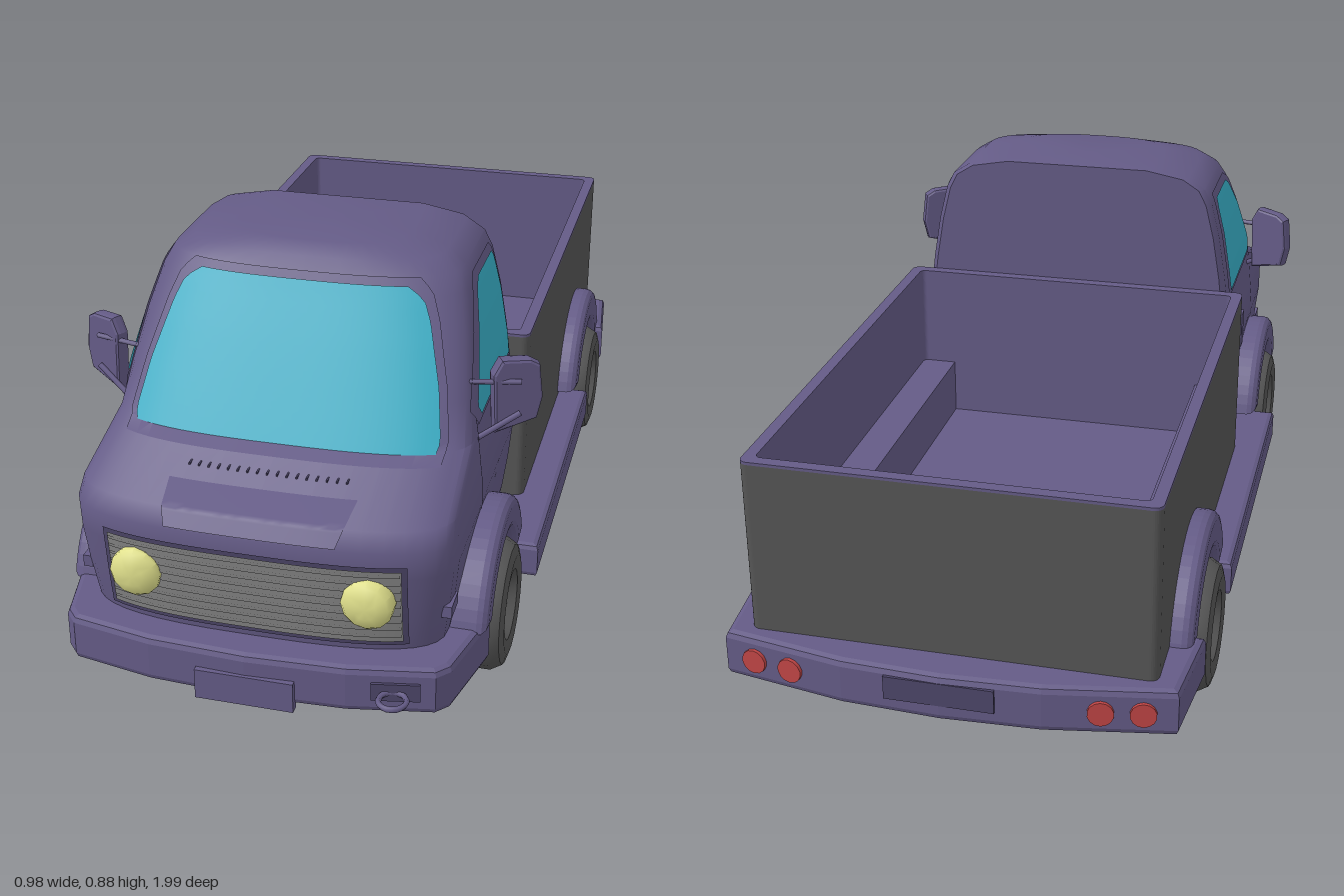
import * as THREE from 'three';
import { toCreasedNormals } from 'three/addons/utils/BufferGeometryUtils.js';

const mat = color => new THREE.MeshStandardMaterial({ color, side: THREE.DoubleSide });
const paint = mat(0x645b86), trim = mat(0x4d4669), dark = mat(0x555555), grey = mat(0x868686);
const glass = mat(0x38aec6), lamp = mat(0xe0e08c), red = mat(0xc04545), hubMat = mat(0xcccccc);

// cab outline by height: [y, half width, front z]
const CAB = [[0.12, 0.345, 0.875], [0.22, 0.365, 0.89], [0.3, 0.376, 0.9], [0.38, 0.384, 0.908], [0.44, 0.383, 0.915],
  [0.475, 0.379, 0.89], [0.54, 0.372, 0.7], [0.62, 0.362, 0.65], [0.72, 0.345, 0.588], [0.8, 0.325, 0.538],
  [0.835, 0.307, 0.517], [0.86, 0.268, 0.5], [0.876, 0.18, 0.455]];
const N = 2.8, DEPTH = 0.12, BACK = 0.182;

function lookup(table, y) {
  let i = 0;
  while (i < table.length - 2 && y > table[i + 1][0]) i++;
  const a = table[i], b = table[i + 1];
  const t = THREE.MathUtils.clamp((y - a[0]) / (b[0] - a[0]), 0, 1);
  return a.slice(1).map((v, k) => v + (b[k + 1] - v) * t);
}
function frontZ(x, y) {
  const [w, zf] = lookup(CAB, y), s = Math.min(1, Math.abs(x) / w);
  return zf - DEPTH + DEPTH * Math.pow(1 - Math.pow(s, N), 1 / N);
}
function sideX(z, y) {
  const [w, zf] = lookup(CAB, y), s = THREE.MathUtils.clamp((z - zf + DEPTH) / DEPTH, 0, 1);
  return w * Math.pow(1 - Math.pow(s, N), 1 / N);
}

function add(parent, name, geo, material, x = 0, y = 0, z = 0) {
  const m = new THREE.Mesh(geo, material);
  m.name = name;
  m.position.set(x, y, z);
  parent.add(m);
  return m;
}
const box = (g, name, m, sx, sy, sz, x, y, z) => add(g, name, new THREE.BoxGeometry(sx, sy, sz), m, x, y, z);

function fromTriangles(pos, crease) {
  const g = new THREE.BufferGeometry();
  g.setAttribute('position', new THREE.Float32BufferAttribute(pos.flat(), 3));
  return toCreasedNormals(g, crease);
}
// grid surface from point(u, v)
function patch(point, cols, rows) {
  const pos = [];
  for (let j = 0; j < rows; j++) for (let i = 0; i < cols; i++) {
    const p = (a, b) => point((i + a) / cols, (j + b) / rows);
    pos.push(p(0, 0), p(1, 0), p(1, 1), p(0, 0), p(1, 1), p(0, 1));
  }
  return fromTriangles(pos, 0.6);
}
// panel on the cab's front; table is [y, half width]
const frontPatch = (table, off) => patch((u, v) => {
  const y = THREE.MathUtils.lerp(table[0][0], table.at(-1)[0], v), x = (u * 2 - 1) * lookup(table, y)[0];
  return [x, y, frontZ(x, y) + off];
}, 24, 20);
// panel on the cab's side; table is [y, rear z, front z]
const sidePatch = (table, off) => patch((u, v) => {
  const y = THREE.MathUtils.lerp(table[0][0], table.at(-1)[0], v), [z0, z1] = lookup(table, y);
  const z = z1 + (z0 - z1) * u;
  return [sideX(z, y) + off, y, z];
}, 12, 20);

function cabGeometry() {
  const rows = CAB.map(([y, w, zf]) => {
    const half = [];
    for (let j = 0; j <= 10; j++) {
      const a = j / 10 * Math.PI / 2;
      half.push([w * Math.pow(Math.sin(a), 2 / N), y, zf - DEPTH + DEPTH * Math.pow(Math.max(0, Math.cos(a)), 2 / N)]);
    }
    half.push([w, y, BACK + 0.015], [w - 0.012, y, BACK]);
    return [...half, ...half.slice(1).reverse().map(([x, yy, z]) => [-x, yy, z])];
  });
  const pos = [], n = rows[0].length, top = rows.at(-1), bottom = rows[0];
  for (let j = 0; j < n; j++) {
    const k = (j + 1) % n;
    for (let i = 0; i < rows.length - 1; i++) {
      const a = rows[i], b = rows[i + 1];
      pos.push(a[j], a[k], b[k], a[j], b[k], b[j]);
    }
    pos.push([0, top[0][1], 0.3], top[j], top[k], [0, 0.12, 0.5], bottom[k], bottom[j]);
  }
  return fromTriangles(pos, 0.75);
}

// horizontal plate from half an outline of [x, z] points, mirrored
function plan(half, y0, y1, bevel) {
  const pts = [...half, ...half.filter(p => p[0] > 0).reverse().map(([x, z]) => [-x, z])];
  const g = new THREE.ExtrudeGeometry(new THREE.Shape(pts.map(([x, z]) => new THREE.Vector2(x, -z))), {
    depth: y1 - y0 - 2 * bevel, bevelThickness: bevel, bevelSize: bevel, bevelOffset: -bevel, bevelSegments: 2 });
  return g.rotateX(-Math.PI / 2).translate(0, y0 + bevel, 0);
}
function roundRect(hw, hl, r, P = THREE.Shape) {
  const s = new P();
  s.absarc(hw - r, hl - r, r, 0, Math.PI / 2);
  s.absarc(r - hw, hl - r, r, Math.PI / 2, Math.PI);
  s.absarc(r - hw, r - hl, r, Math.PI, Math.PI * 1.5);
  s.absarc(hw - r, r - hl, r, Math.PI * 1.5, Math.PI * 2);
  s.closePath();
  return s;
}
// bed wall ring between two insets from the outer faces
function wall(inset0, inset1, y0, y1) {
  const s = roundRect(0.41 - inset0, 0.55 - inset0, 0.018);
  s.holes.push(roundRect(0.41 - inset1, 0.55 - inset1, 0.012, THREE.Path));
  return new THREE.ExtrudeGeometry(s, { depth: y1 - y0, bevelEnabled: false, curveSegments: 4 })
    .rotateX(-Math.PI / 2).translate(0, y0, -0.37);
}
// half ring with a softly rounded outer lip, from x = 0 outwards
function archGeometry(inner, outer, depth) {
  const s = new THREE.Shape();
  s.absarc(0, 0, outer, 0.25, Math.PI - 0.25, false);
  s.absarc(0, 0, inner, Math.PI - 0.25, 0.25, true);
  return new THREE.ExtrudeGeometry(s, { depth: depth - 0.022, bevelThickness: 0.022, bevelSize: 0.02, bevelOffset: -0.02,
    bevelSegments: 3, curveSegments: 12 }).rotateY(Math.PI / 2);
}
const lathe = (points, segments) => toCreasedNormals(
  new THREE.LatheGeometry(points.map(p => new THREE.Vector2(...p)), segments).toNonIndexed(), 0.7);

function wheel(parent, name, x, z) {
  const g = new THREE.Group();
  g.name = name;
  const profile = [[0, -0.06], [0.1, -0.062], [0.127, -0.055], [0.14, -0.032], [0.14, 0.032], [0.127, 0.055],
    [0.105, 0.062], [0.075, 0.058], [0.062, 0.034], [0, 0.034]];
  add(g, 'tire', lathe(profile, 20).rotateZ(-Math.PI / 2), dark);
  add(g, 'hub', new THREE.CylinderGeometry(0.06, 0.06, 0.01, 20).rotateZ(Math.PI / 2), hubMat, 0.036);
  g.position.set(x, 0.14, z);
  parent.add(g);
}
function rod(parent, name, a, b, r) {
  const path = new THREE.LineCurve3(new THREE.Vector3(...a), new THREE.Vector3(...b));
  add(parent, name, new THREE.TubeGeometry(path, 1, r, 6), paint);
}

// everything that exists on both sides, built for +x
function buildSide(name) {
  const g = new THREE.Group();
  g.name = name;
  wheel(g, 'frontWheel', 0.393, 0.55);
  wheel(g, 'rearWheel', 0.415, -0.575);
  add(g, 'frontFender', archGeometry(0.15, 0.225, 0.07), paint, 0.368, 0.145, 0.55);
  add(g, 'rearFender', archGeometry(0.15, 0.235, 0.055), paint, 0.4, 0.145, -0.575);
  add(g, 'sill', plan([[0.05, 0.39], [0.05, -0.405]], 0.11, 0.19, 0.012), paint, 0.43);
  add(g, 'sideWindowFrame', sidePatch([[0.56, 0.22, 0.565], [0.6, 0.217, 0.59], [0.72, 0.217, 0.5], [0.8, 0.217, 0.435],
    [0.818, 0.225, 0.4]], 0.004), paint);
  add(g, 'sideWindow', sidePatch([[0.573, 0.235, 0.54], [0.6, 0.23, 0.565], [0.72, 0.23, 0.475], [0.79, 0.23, 0.415],
    [0.805, 0.24, 0.385]], 0.007), glass);
  add(g, 'doorSeam', sidePatch([[0.375, 0.573, 0.577], [0.575, 0.573, 0.577]], 0.003), trim);
  box(g, 'doorHandle', paint, 0.035, 0.085, 0.035, 0.388, 0.475, 0.24);
  box(g, 'sideMarker', paint, 0.02, 0.025, 0.06, 0.37, 0.287, 0.8);

  // wing mirror on two rods
  const outline = [[-0.045, -0.075], [0.035, -0.053], [0.045, -0.01], [0.037, 0.058], [0.02, 0.068], [-0.035, 0.072], [-0.05, 0.045]];
  const mirror = add(g, 'wingMirror', new THREE.ExtrudeGeometry(new THREE.Shape(outline.map(p => new THREE.Vector2(...p))),
    { depth: 0.012, bevelThickness: 0.01, bevelSize: 0.006, bevelSegments: 2 }), paint, 0.436, 0.615, 0.503);
  mirror.rotation.y = 0.5;
  rod(g, 'upperMirrorArm', [0.345, 0.645, 0.55], [0.45, 0.647, 0.528], 0.006);
  rod(g, 'lowerMirrorArm', [0.355, 0.52, 0.57], [0.45, 0.578, 0.528], 0.006);

  const lens = [[0.052, -0.03], [0.052, 0.01], [0.044, 0.02], [0.022, 0.027], [0, 0.029]];
  add(g, 'headlight', lathe(lens, 12).rotateX(Math.PI / 2), lamp, 0.233, 0.333, frontZ(0.233, 0.333) + 0.012);
  for (const x of [0.31, 0.39]) {
    const light = add(g, 'tailLight', new THREE.CylinderGeometry(0.026, 0.026, 0.014, 14).rotateX(Math.PI / 2), red,
      x, 0.17, -0.971 + (x - 0.31) * 0.18);
    light.rotation.y = -0.175;
  }
  box(g, 'wheelBox', paint, 0.085, 0.14, 1.06, 0.348, 0.28, -0.37);
  return g;
}

export function createModel() {
  const model = new THREE.Group();
  model.name = 'pickupTruck';

  // cab
  add(model, 'cab', cabGeometry(), paint);
  add(model, 'windshieldFrame', frontPatch([[0.528, 0.325], [0.56, 0.33], [0.65, 0.314], [0.76, 0.284], [0.81, 0.264],
    [0.836, 0.235]], 0.004), paint);
  add(model, 'windshield', frontPatch([[0.541, 0.31], [0.56, 0.316], [0.65, 0.3], [0.76, 0.268], [0.8, 0.25],
    [0.822, 0.215]], 0.009), glass);
  add(model, 'hoodPanel', frontPatch([[0.445, 0.17], [0.5, 0.19]], 0.004), paint);
  for (let i = -8; i <= 8; i++) box(model, 'hoodVent', trim, 0.003, 0.004, 0.02, i * 0.02, 0.514, frontZ(i * 0.02, 0.514));

  // grille
  add(model, 'grilleFrame', frontPatch([[0.225, 0.305], [0.412, 0.305]], 0.005), trim);
  add(model, 'grille', frontPatch([[0.235, 0.295], [0.404, 0.295]], 0.008), grey);
  for (let i = 0; i < 9; i++) {
    const y = 0.247 + i * 0.018;
    add(model, 'grilleSlat', frontPatch([[y, 0.293], [y + 0.007, 0.293]], 0.01), grey);
  }

  // bumpers
  add(model, 'frontBumper', plan([[0, 0.96], [0.2, 0.95], [0.37, 0.918], [0.395, 0.89], [0.435, 0.715], [0.35, 0.7]],
    0.11, 0.21, 0.014), paint);
  add(model, 'rearBumper', plan([[0.4, -0.735], [0.475, -0.745], [0.455, -0.945], [0.2, -0.99], [0, -1]],
    0.12, 0.22, 0.014), paint);
  box(model, 'frontPlate', paint, 0.2, 0.065, 0.02, 0, 0.133, 0.957);
  box(model, 'rearPlate', trim, 0.22, 0.05, 0.02, 0, 0.18, -0.991);
  const slot = box(model, 'towSlot', trim, 0.095, 0.038, 0.012, 0.295, 0.162, 0.932);
  slot.rotation.y = 0.19;
  add(model, 'towRing', new THREE.TorusGeometry(0.027, 0.006, 6, 18).rotateX(Math.PI / 2), paint, 0.295, 0.16, 0.96);

  // cargo bed
  add(model, 'bedOuterWalls', wall(0, 0.012, 0.14, 0.584), dark);
  add(model, 'bedInnerWalls', wall(0.012, 0.025, 0.16, 0.584), paint);
  add(model, 'bedRim', wall(0, 0.025, 0.584, 0.59), paint);
  box(model, 'bedUnderside', dark, 0.79, 0.02, 1.07, 0, 0.15, -0.37);
  box(model, 'bedFloor', paint, 0.79, 0.06, 1.07, 0, 0.19, -0.37);

  const left = buildSide('leftSide'), right = buildSide('rightSide');
  right.scale.x = -1;
  model.add(left, right);
  return model;
}
